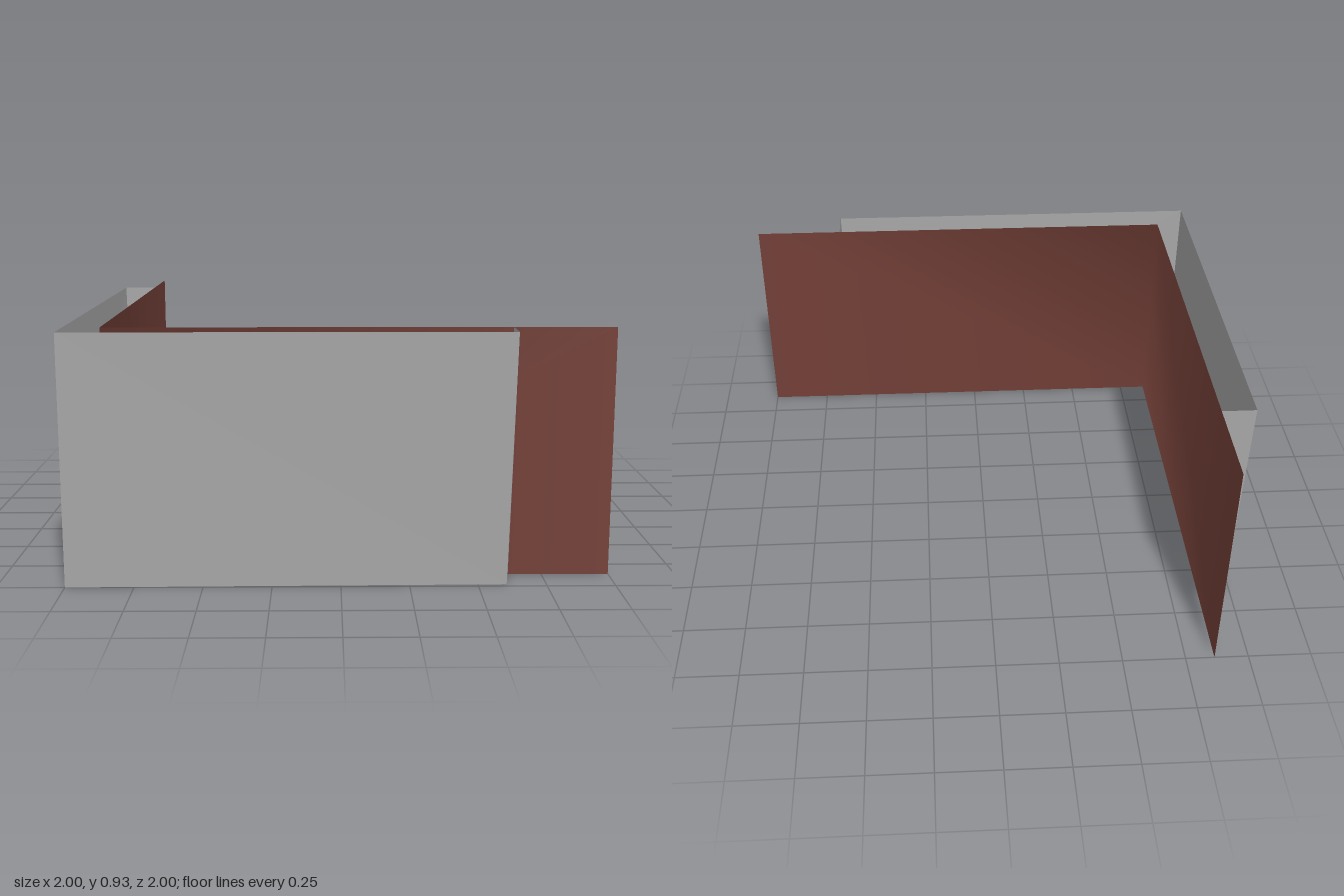
import * as THREE from 'three';

const HEIGHT = 0.93;

// Open upright strip through plan points; each point is [xTop, zTop, xBottom, zBottom]
function wallStrip(points) {
  const positions = [], index = [];
  points.forEach(([x, z, xb = x, zb = z], i) => {
    positions.push(xb, 0, zb, x, HEIGHT, z);
    if (i > 0) {
      const a = 2 * (i - 1);
      index.push(a, a + 2, a + 1, a + 1, a + 2, a + 3);
    }
  });
  const geometry = new THREE.BufferGeometry();
  geometry.setAttribute('position', new THREE.Float32BufferAttribute(positions, 3));
  geometry.setIndex(index);
  geometry.computeVertexNormals();
  return geometry;
}

export function createModel() {
  const group = new THREE.Group();
  const concrete = new THREE.MeshStandardMaterial({ color: 0xa6a6a6, side: THREE.DoubleSide });
  concrete.name = 'concreteGrey';
  const brick = new THREE.MeshStandardMaterial({ color: 0x744038, side: THREE.DoubleSide });
  brick.name = 'brickBrown';

  const add = (name, points, material, flat) => {
    let geometry = wallStrip(points);
    if (flat) {
      geometry = geometry.toNonIndexed();
      geometry.computeVertexNormals();
    }
    const mesh = new THREE.Mesh(geometry, material);
    mesh.name = name;
    group.add(mesh);
  };

  // Inner wall: one sheet bent at the corner, softly shaded
  add('innerWall', [[1, 0.865], [-0.865, 0.865], [-0.865, -1]], brick, false);

  // Outer cladding with return ends, leaning in slightly at the bottom of each end
  add('outerWall', [
    [-0.865, -0.625],
    [-1, -0.625, -0.98, -0.625],
    [-1, 1],
    [0.625, 1, 0.605, 0.98],
    [0.625, 0.865],
  ], concrete, true);

  return group;
}
